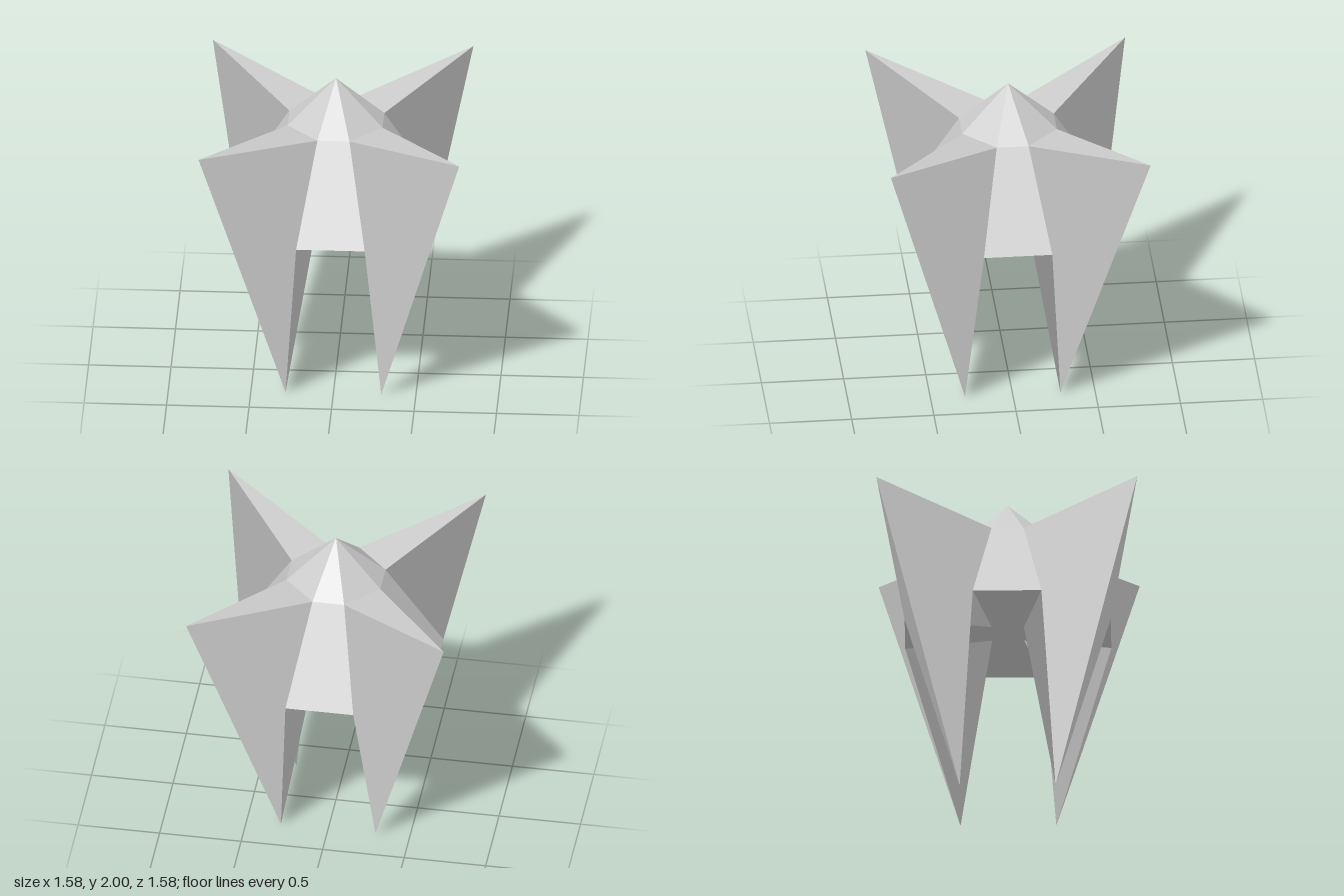
import * as THREE from 'three';

const material = new THREE.MeshStandardMaterial({ color: 0xcccccc, side: THREE.DoubleSide });

// Mesh of triangles and quads; each quad is fanned from its first corner
// and keeps one flat normal across both halves.
function facets(name, polygons) {
  const positions = [], normals = [];
  for (const polygon of polygons) {
    const p = polygon.map((c) => new THREE.Vector3(...c));
    const last = p.length - 1;
    const n = p[2].clone().sub(p[0]).cross(p[last].clone().sub(p[1]));
    if (last === 2) n.crossVectors(p[1].clone().sub(p[0]), p[2].clone().sub(p[0]));
    n.normalize();
    for (let i = 1; i < last; i++) {
      for (const v of [p[0], p[i], p[i + 1]]) {
        positions.push(v.x, v.y, v.z);
        normals.push(n.x, n.y, n.z);
      }
    }
  }
  const geometry = new THREE.BufferGeometry();
  geometry.setAttribute('position', new THREE.Float32BufferAttribute(positions, 3));
  geometry.setAttribute('normal', new THREE.Float32BufferAttribute(normals, 3));
  const mesh = new THREE.Mesh(geometry, material);
  mesh.name = name;
  return mesh;
}

// Mirror a polygon into a corner, keeping its winding and its first corner
function mirrored(polygon, sx, sz) {
  const p = polygon.map(([x, y, z]) => [x * sx, y, z * sz]);
  return sx * sz > 0 ? p : [p[0], ...p.slice(1).reverse()];
}

export function createModel() {
  const model = new THREE.Group();
  const ROOF = 1.72, SKIRT = 1.147;

  // Corner points shared by the parts
  const apex = [0, 2, 0];
  const A = [0.097, ROOF, 0.288], B = [0.288, ROOF, 0.097];     // roof ring
  const C = [0.208, SKIRT, 0.624], D = [0.624, SKIRT, 0.208];   // skirt
  const P = [0.097, SKIRT, 0.097];                              // inner corner of the underside
  const wingTip = [0.79, 1.83, 0.79], legTip = [0.29, 0, 0.29];
  const flipX = ([x, y, z]) => [-x, y, z];
  const flipZ = ([x, y, z]) => [x, y, -z];

  // Four sides: roof facets, sloping panel and underside
  ['front', 'left', 'back', 'right'].forEach((label, k) => {
    const side = new THREE.Group();
    side.name = `${label}Side`;
    side.add(
      facets('roof', [[apex, flipX(A), A], [apex, A, B]]),
      facets('panel', [[flipX(A), flipX(C), C, A]]),
      facets('underside', [[flipX(C), flipX(P), P, C]]),
    );
    side.rotation.y = (k * Math.PI) / 2;
    model.add(side);
  });

  // Middle of the underside
  model.add(facets('undersideCentre', [[P, flipX(P), flipX(flipZ(P)), flipZ(P)]]));

  // Four corners: spiked wing running down into a pointed leg
  for (const sx of [1, -1]) {
    for (const sz of [1, -1]) {
      const corner = new THREE.Group();
      corner.name = `${sz > 0 ? 'front' : 'back'}${sx > 0 ? 'Left' : 'Right'}Corner`;
      const wing = [[A, wingTip, B], [C, legTip, wingTip, A], [D, B, wingTip, legTip]];
      // The inner leg face folds along a different diagonal on alternate corners
      const inner = sx * sz > 0 ? [C, P, D, legTip] : [P, D, legTip, C];
      corner.add(
        facets('wing', wing.map((p) => mirrored(p, sx, sz))),
        facets('legInside', [mirrored(inner, sx, sz)]),
      );
      model.add(corner);
    }
  }
  return model;
}
